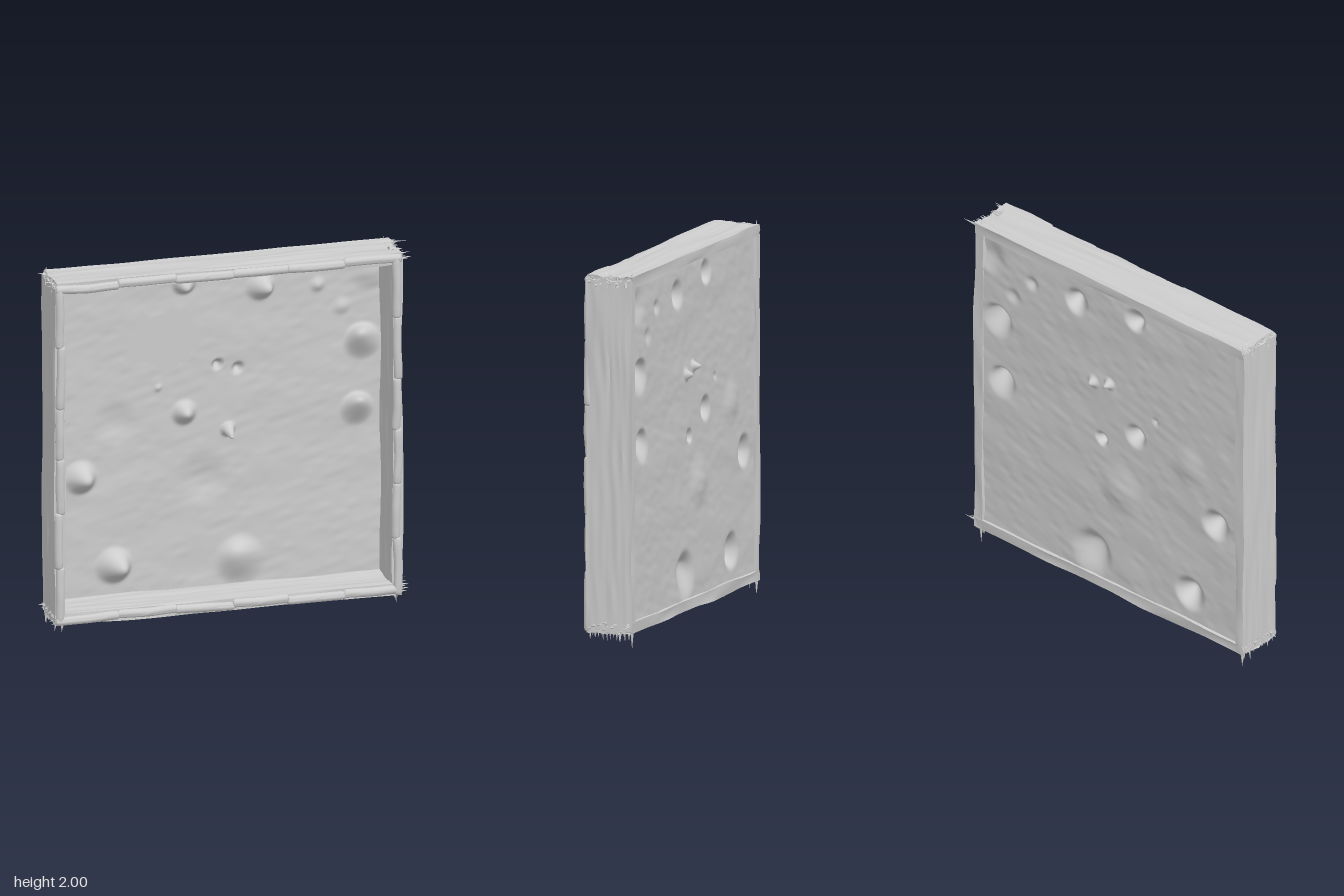
import * as THREE from 'three';
import { mergeGeometries, mergeVertices, toCreasedNormals } from 'three/addons/utils/BufferGeometryUtils.js';

let seed = 7;
const rand = () => (seed = (seed * 16807) % 2147483647) / 2147483647;
const between = (a, b) => a + (b - a) * rand();

// Smooth 2D value noise in the range -1..1
function noise(x, y) {
  const hash = (i, j) => { const s = Math.sin(i * 127.1 + j * 311.7) * 43758.5453; return (s - Math.floor(s)) * 2 - 1; };
  const i = Math.floor(x), j = Math.floor(y);
  const u = THREE.MathUtils.smoothstep(x - i, 0, 1), v = THREE.MathUtils.smoothstep(y - j, 0, 1);
  const { lerp } = THREE.MathUtils;
  return lerp(lerp(hash(i, j), hash(i + 1, j), u), lerp(hash(i, j + 1), hash(i + 1, j + 1), u), v);
}

// Move every vertex by a rule
function warp(geometry, rule) {
  const p = geometry.attributes.position, v = new THREE.Vector3();
  for (let i = 0; i < p.count; i++) {
    rule(v.fromBufferAttribute(p, i));
    p.setXYZ(i, v.x, v.y, v.z);
  }
  return geometry;
}

// Keep only positions and rebuild normals with sharp edges kept
function crease(geometry, angle = 0.7) {
  geometry.deleteAttribute('normal');
  geometry.deleteAttribute('uv');
  return toCreasedNormals(mergeVertices(geometry, 1e-5), angle);
}

// Rough plank lying along x, with wood grain running its length
function plankGeometry(length, thick, depth, offset) {
  return crease(warp(new THREE.BoxGeometry(length, thick, depth, 40, 2, 20), v => {
    const side = Math.sign(v.y);
    const grain = noise(v.x * 4 + offset, v.z * 55 + side * 9) * 0.004 + noise(v.x * 2.5 + offset, v.z * 9 + side * 5) * 0.006;
    v.z += noise(v.x * 5 + offset, v.y * 30 + 4) * 0.005;
    v.y += grain;
    if (Math.abs(v.x) > length / 2 - 0.001) v.x += noise(v.z * 45 + offset, v.y * 60) * 0.012;
  }));
}

// Splinters bristling from both ends of a plank
function splinterGeometry(length, thick, depth, reachLow, reachHigh) {
  const list = [];
  for (const end of [-1, 1]) {
    const reach = end < 0 ? reachLow : reachHigh;
    for (let i = 0; i < 20; i++) {
      const corner = i === 0;
      const long = (corner ? reach : between(0.25, 0.7) * reach) + 0.04;
      const g = new THREE.ConeGeometry(between(0.009, 0.015), long, 5);
      g.rotateZ(-end * Math.PI / 2);
      if (!corner) g.rotateZ(between(-0.2, 0.2));
      g.translate(end * (length / 2 - 0.04 + long / 2), corner ? 0.01 : between(-0.4, 0.4) * thick,
        corner ? -depth / 2 + 0.012 : (i / 20 - 0.5) * depth + 0.006);
      list.push(g);
    }
  }
  return crease(mergeGeometries(list));
}

// Pillow-shaped bark pieces along the front edge of a plank
function edgingGeometry(breaks, offset) {
  const list = [];
  for (let i = 0; i < breaks.length - 1; i++) {
    const long = breaks[i + 1] - breaks[i] + 0.008;
    const g = new THREE.CapsuleGeometry(0.024, long - 0.03, 4, 12, 8);
    g.rotateZ(Math.PI / 2);
    const lift = (i % 2 ? 1 : -1) * 0.003;
    warp(g, v => {
      // square off the tips and bow the piece slightly
      const t = Math.abs(v.x) / (long / 2);
      v.x = THREE.MathUtils.clamp(v.x, -long / 2, long / 2);
      v.y += lift + 0.005 * noise(v.x * 7 + i * 3, offset);
      v.z += 0.004 * (1 - t) + 0.003 * noise(v.x * 9 + i, offset + 5);
    });
    g.translate((breaks[i] + breaks[i + 1]) / 2, 0, 0.122);
    list.push(g);
  }
  return crease(mergeGeometries(list), 1);
}

// Uneven backing panel: [x, y, radius, height, leanX, leanY]
const bumps = [
  [-0.2, 1.83, 0.075, 0.07, 0, -0.02], [0.21, 1.77, 0.085, 0.08, 0.03, 0], [0.52, 1.75, 0.05, 0.02, 0, 0],
  [0.65, 1.62, 0.06, 0.015, 0, 0], [0.8, 1.8, 0.12, 0.02, 0, 0], [0.76, 1.42, 0.11, 0.08, -0.02, 0.06],
  [0.73, 1.05, 0.1, 0.08, 0.0, 0.06], [-0.02, 1.36, 0.035, -0.05, 0, 0], [0.09, 1.33, 0.038, -0.04, 0, 0],
  [-0.34, 1.26, 0.025, 0.015, 0, 0], [-0.2, 1.11, 0.075, 0.08, 0, 0.01], [0.035, 1.0, 0.04, 0.11, 0, -0.02],
  [-0.76, 0.8, 0.1, 0.09, 0.02, 0], [-0.58, 0.3, 0.11, 0.1, 0.03, 0], [0.1, 0.27, 0.15, 0.06, -0.02, 0.04],
  [-0.57, 1.09, 0.14, -0.015, 0, 0], [-0.1, 0.74, 0.17, -0.018, 0, 0],
];
function panelGeometry() {
  const g = new THREE.PlaneGeometry(1.87, 1.87, 170, 170);
  g.translate(-0.025, 1.025, -0.108);
  warp(g, v => {
    const { x, y } = v;
    v.z += 0.004 * noise(x * 4 + y * 2, y * 7 - x * 2) + 0.0015 * noise(x * 14 + y * 6, y * 28 - x * 8);
    for (const [bx, by, r, h, lx, ly] of bumps) {
      const t = Math.hypot(x - bx, y - by) / r;
      if (t >= 1) continue;
      const k = 0.5 + 0.5 * Math.cos(Math.PI * t);
      v.z += h * k;
      v.x += lx * k;
      v.y += ly * k;
    }
  });
  g.computeVertexNormals();
  return g;
}

export function createModel() {
  const model = new THREE.Group();
  model.name = 'woodenTrayPanel';
  const grey = new THREE.MeshStandardMaterial({ color: 0xcccccc, side: THREE.DoubleSide });
  grey.name = 'plain grey';

  const add = (parent, name, geometry) => {
    const mesh = new THREE.Mesh(geometry, grey);
    mesh.name = name;
    parent.add(mesh);
    return mesh;
  };

  // Four planks of the frame
  const LENGTH = 1.86, DEPTH = 0.25;
  const acrossBreaks = [-0.93, -0.595, -0.285, 0.025, 0.32, 0.625, 0.93];
  const uprightBreaks = [-0.93, -0.62, -0.32, -0.02, 0.26, 0.6, 0.93];
  const planks = [
    ['top', -0.025, 1.94, false, 0.045, 0.095],
    ['bottom', -0.025, 0.112, false, 0.04, 0.085],
    ['right', -0.935, 1.02, true, 0.08, 0.045],
    ['left', 0.885, 1.02, true, 0.09, 0.04],
  ];
  planks.forEach(([name, x, y, upright, low, high], i) => {
    const side = new THREE.Group();
    side.name = name + 'Side';
    add(side, name + 'Plank', plankGeometry(LENGTH, 0.056, DEPTH, i * 13 + 2));
    add(side, name + 'Splinters', splinterGeometry(LENGTH, 0.06, DEPTH, low, high));
    add(side, name + 'Edging', edgingGeometry(upright ? uprightBreaks : acrossBreaks, i * 7));
    if (upright) side.rotation.z = Math.PI / 2;
    side.position.set(x, y, 0.005);
    model.add(side);
  });

  // Lumpy backing panel
  add(model, 'backPanel', panelGeometry());

  // Thin flat patch with a ragged outline
  const outline = [
    [-0.5, 1.45], [-0.475, 1.56], [-0.46, 1.67], [-0.43, 1.7], [-0.39, 1.65], [-0.31, 1.67], [-0.27, 1.71],
    [-0.23, 1.68], [-0.215, 1.64], [-0.19, 1.66], [-0.17, 1.59], [-0.13, 1.53], [-0.165, 1.45], [-0.165, 1.4],
    [-0.225, 1.39], [-0.27, 1.345], [-0.33, 1.355], [-0.39, 1.4], [-0.48, 1.43],
  ].map(([x, y]) => new THREE.Vector2(x, y));
  const patch = add(model, 'flatPatch', new THREE.ShapeGeometry(new THREE.Shape(outline)));
  patch.position.z = -0.1;

  return model;
}
